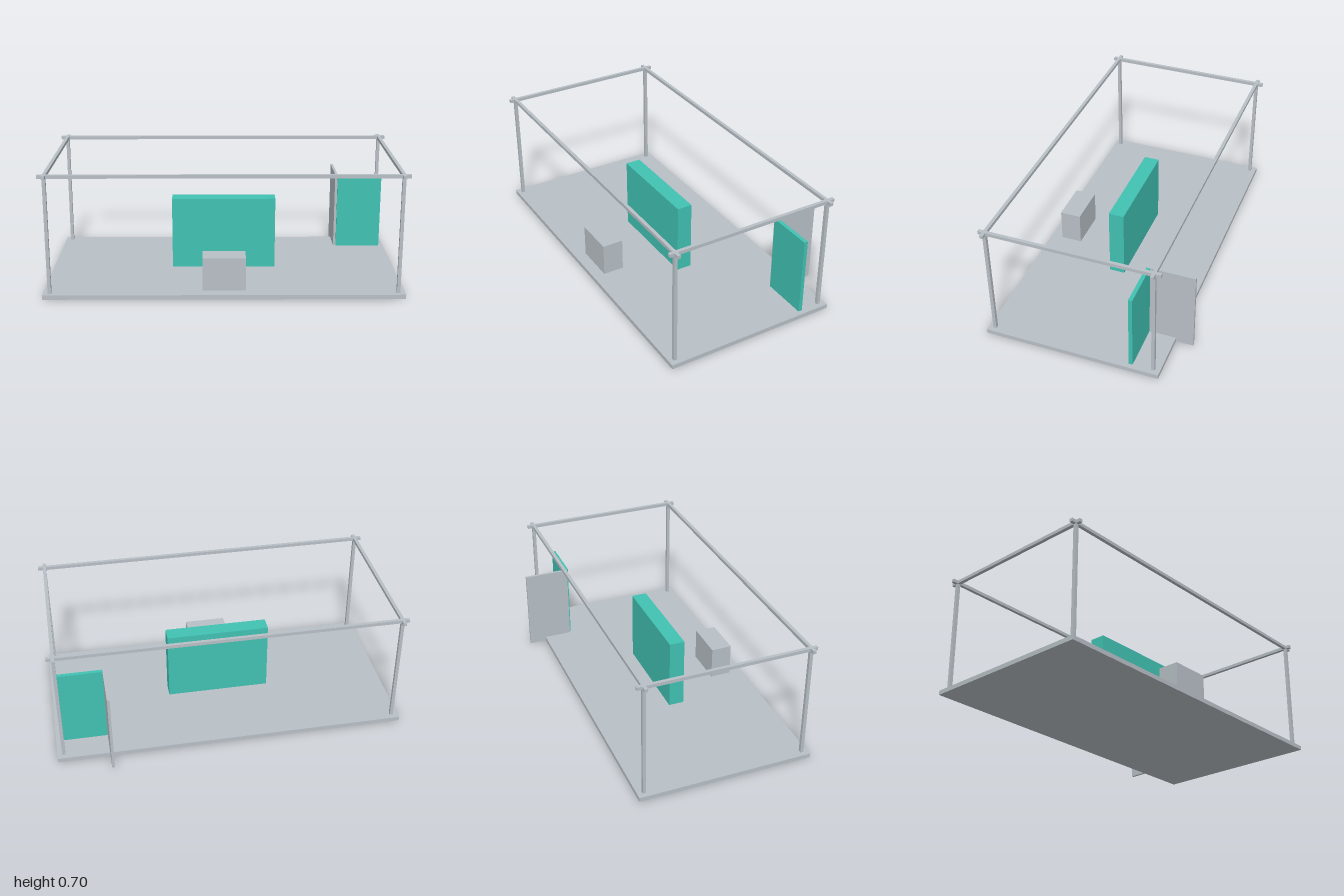
import * as THREE from 'three';

export function createModel() {
  const group = new THREE.Group();
  const grey = new THREE.MeshStandardMaterial({ color: 0xb8c0c6 });
  grey.name = 'light grey';
  const teal = new THREE.MeshStandardMaterial({ color: 0x41c2b3 });
  teal.name = 'teal';

  // Box given by its extents on each axis
  function block(name, material, [x0, x1], [y0, y1], [z0, z1]) {
    const mesh = new THREE.Mesh(new THREE.BoxGeometry(x1 - x0, y1 - y0, z1 - z0), material);
    mesh.position.set((x0 + x1) / 2, (y0 + y1) / 2, (z0 + z1) / 2);
    mesh.name = name;
    group.add(mesh);
  }
  const around = (centre, half) => [centre - half, centre + half];

  const floorTop = 0.025, roof = 0.7, bar = 0.019;
  const width = [-1, 1], depth = [-0.45, 0.55];
  const postX = 0.9625, postZ = [0.515, -0.411];

  block('floor', grey, width, [0, floorTop], depth);

  // Open frame: crossing top beams carried by four corner posts
  for (const z of postZ) {
    block('longBeam', grey, width, [roof - bar, roof], around(z, bar / 2));
    for (const side of [-1, 1]) {
      block('post', grey, around(side * postX, bar / 2), [floorTop, roof - bar], around(z, bar / 2));
    }
  }
  for (const side of [-1, 1]) {
    block('sideBeam', grey, around(side * postX, bar / 2), [roof - bar, roof], depth);
  }

  // Standing wall and counter
  block('centreWall', teal, [-0.3, 0.3], [0.005, 0.442], [0.007, 0.096]);
  block('counter', grey, [-0.12, 0.12], [0.005, 0.215], [0.36, 0.482]);

  // Corner partition, its side panel running past the floor edge
  block('partitionFront', teal, [0.704, 0.972], [0.005, 0.482], [-0.297, -0.275]);
  block('partitionSide', grey, [0.689, 0.704], [0, 0.482], [-0.55, -0.285]);

  return group;
}
